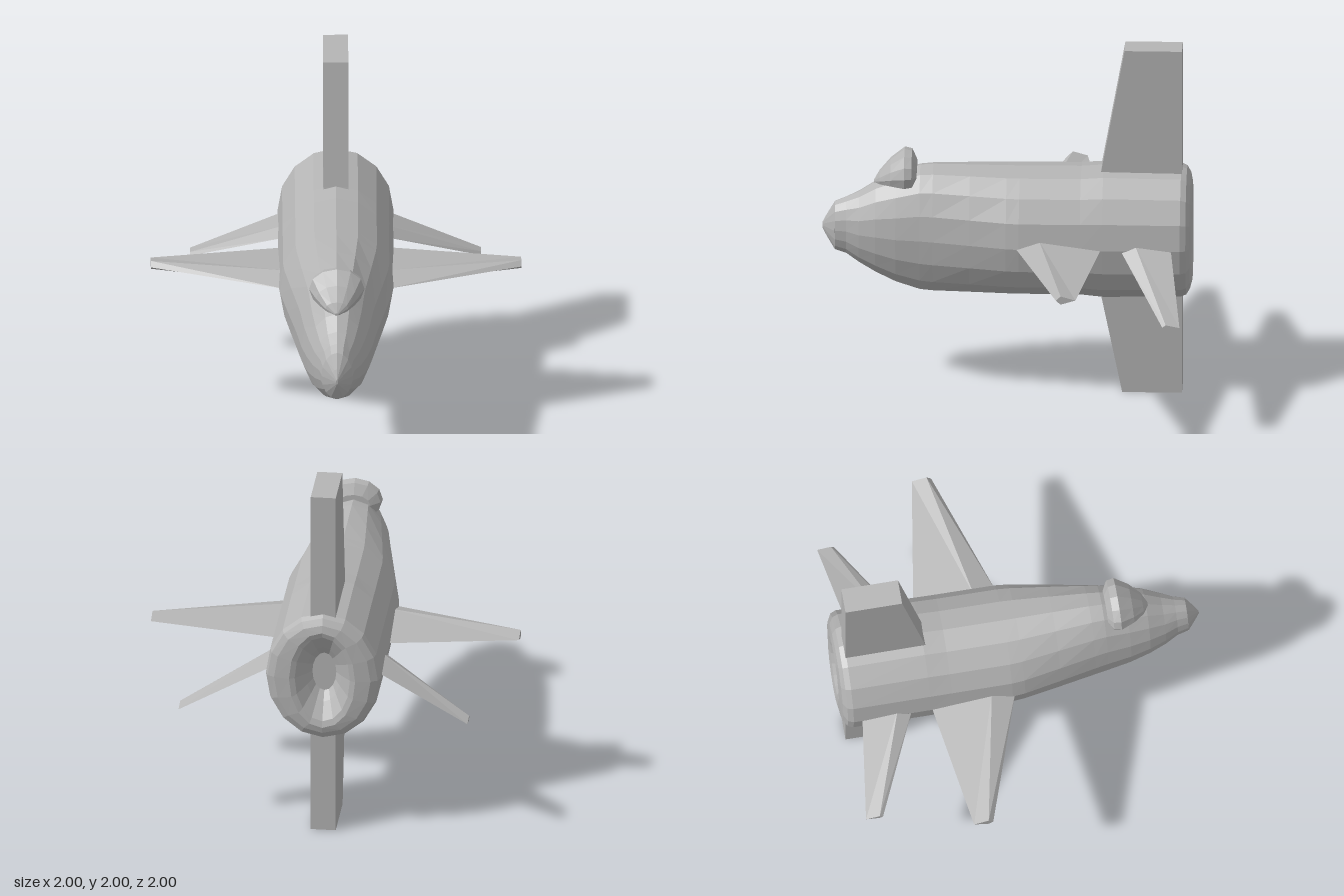
import * as THREE from 'three';

const hullGrey = new THREE.MeshStandardMaterial({ color: 0xb4b4b4, flatShading: true });
hullGrey.name = 'hull grey';

// Closed faceted solid through a series of equal-length rings of [x, y, z]
function loft(name, rings) {
  const tris = [];
  const n = rings[0].length;
  for (let i = 0; i < rings.length - 1; i++) {
    for (let j = 0; j < n; j++) {
      const k = (j + 1) % n;
      const a = rings[i][j], b = rings[i][k], c = rings[i + 1][k], d = rings[i + 1][j];
      tris.push([a, b, c], [a, c, d]);
    }
  }
  const cap = (ring, flip) => {
    const mid = [0, 1, 2].map(m => ring.reduce((s, p) => s + p[m], 0) / n);
    for (let j = 0; j < n; j++) {
      const k = (j + 1) % n;
      tris.push(flip ? [mid, ring[k], ring[j]] : [mid, ring[j], ring[k]]);
    }
  };
  cap(rings[0], true);
  cap(rings[rings.length - 1], false);

  // Turn all faces outward, whichever way the rings run
  const v = p => new THREE.Vector3(...p);
  let volume = 0;
  for (const [a, b, c] of tris) volume += v(a).dot(v(b).cross(v(c)));
  if (volume < 0) tris.forEach(t => t.reverse());

  const geometry = new THREE.BufferGeometry();
  geometry.setAttribute('position', new THREE.Float32BufferAttribute(tris.flat(2), 3));
  geometry.computeVertexNormals();
  const mesh = new THREE.Mesh(geometry, hullGrey);
  mesh.name = name;
  return mesh;
}

// Elliptical ring facing along z, with an optional flat floor
function ellipse(z, rx, yTop, yBottom, sides = 16, floor = -1) {
  const cy = (yTop + yBottom) / 2, ry = (yTop - yBottom) / 2;
  return Array.from({ length: sides }, (_, i) => {
    const a = (i / sides) * Math.PI * 2;
    return [rx * Math.cos(a), Math.max(floor, cy + ry * Math.sin(a)), z];
  });
}

// Wing section at x: leading edge, upper ridge, trailing edge, lower ridge as [z, y]
const section = (x, points) => points.map(([z, y]) => [x, y, z]);

// Upright slab fin from a [z, y] outline
function slabFin(name, outline, halfWidth) {
  return loft(name, [section(-halfWidth, outline), section(halfWidth, outline)]);
}

export function createModel() {
  const model = new THREE.Group();
  model.name = 'rocketPlane';

  // Fuselage, running from the nose joint to the recessed engine: z, half width, top, bottom
  const hull = [
    [0.93, 0.082, 1.07, 0.79], [0.87, 0.097, 1.095, 0.77], [0.8, 0.13, 1.13, 0.72],
    [0.71, 0.163, 1.19, 0.665], [0.6, 0.19, 1.24, 0.61], [0.47, 0.212, 1.29, 0.567],
    [0.4, 0.225, 1.296, 0.562], [0.2, 0.265, 1.295, 0.563], [0, 0.303, 1.293, 0.563],
    [-0.07, 0.31, 1.293, 0.563], [-0.4, 0.311, 1.295, 0.563], [-0.52, 0.312, 1.305, 0.55],
    [-0.94, 0.312, 1.3, 0.558], [-0.97, 0.3, 1.285, 0.57], [-0.99, 0.262, 1.25, 0.605],
    [-1, 0.18, 1.21, 0.64], [-0.99, 0.15, 1.18, 0.675],
    [-0.93, 0.095, 1.09, 0.765], [-0.89, 0.065, 1.04, 0.815],
  ];
  model.add(loft('fuselage', hull.map(s => ellipse(...s))));

  // Nose cone
  model.add(loft('noseCone', [
    ellipse(1, 0.006, 0.945, 0.915), ellipse(0.975, 0.035, 0.995, 0.865),
    ellipse(0.93, 0.085, 1.072, 0.788),
  ]));

  // Cockpit canopy
  const canopy = [
    [0.72, 0.01, 1.2, 1.185], [0.69, 0.062, 1.25, 1.175], [0.63, 0.112, 1.32, 1.16],
    [0.555, 0.15, 1.38, 1.14], [0.515, 0.142, 1.37, 1.15], [0.488, 0.09, 1.31, 1.19],
  ];
  model.add(loft('canopy', canopy.map(s => ellipse(...s, 12, 1.185))));

  // Upright tail fins
  model.add(slabFin('topFin',
    [[-0.49, 1.2], [-0.51, 1.3], [-0.635, 2], [-0.945, 2], [-0.945, 1.2]], 0.068));
  model.add(slabFin('bottomFin',
    [[-0.49, 0.66], [-0.51, 0.555], [-0.622, 0], [-0.945, 0], [-0.945, 0.66]], 0.068));

  // Main wings and drooping rear fins on both sides
  for (const [side, s] of [['left', 1], ['right', -1]]) {
    model.add(loft(side + 'Wing', [
      section(s * 0.28, [[-0.05, 0.927], [-0.18, 0.97], [-0.515, 0.927], [-0.18, 0.887]]),
      section(s * 1, [[-0.295, 0.927], [-0.32, 0.953], [-0.4, 0.93], [-0.32, 0.905]]),
    ]));
    model.add(loft(side + 'RearFin', [
      section(s * 0.285, [[-0.615, 0.93], [-0.695, 0.962], [-0.89, 0.94], [-0.695, 0.905]]),
      section(s * 0.785, [[-0.862, 0.686], [-0.88, 0.7], [-0.955, 0.685], [-0.88, 0.674]]),
    ]));
  }
  return model;
}
